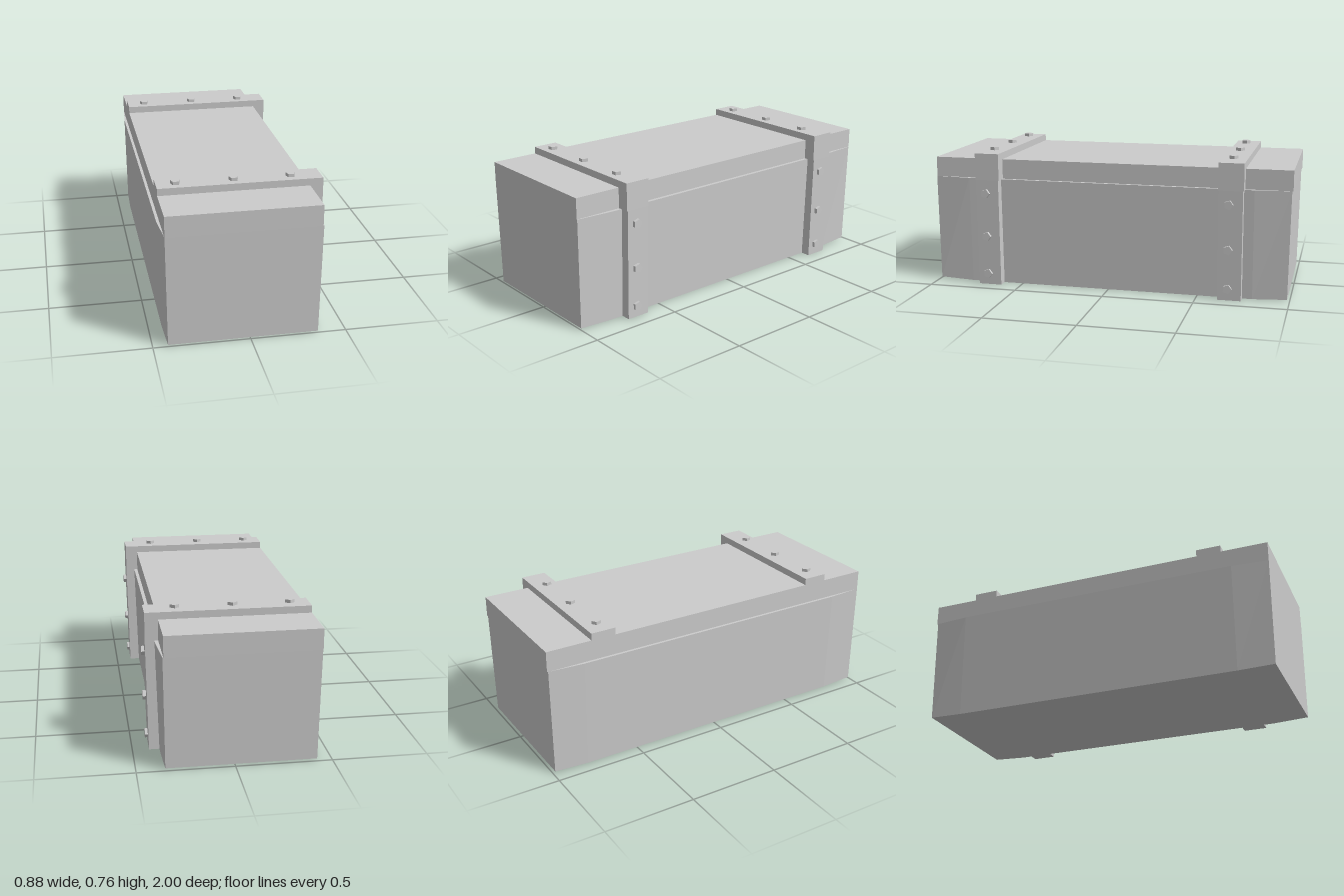
import * as THREE from 'three';

const material = new THREE.MeshStandardMaterial({ color: 0xcccccc, flatShading: true });
const CENTRE = -0.035; // the chest sits off centre because the straps project on one side

function addMesh(parent, name, geometry, x = 0, y = 0, z = 0) {
  const mesh = new THREE.Mesh(geometry, material);
  mesh.name = name;
  mesh.position.set(x, y, z);
  parent.add(mesh);
  return mesh;
}

function addBox(parent, name, x0, x1, y0, y1, z0, z1) {
  return addMesh(parent, name, new THREE.BoxGeometry(x1 - x0, y1 - y0, z1 - z0),
    (x0 + x1) / 2, (y0 + y1) / 2, (z0 + z1) / 2);
}

// Moves every vertex of a geometry by a rule
function reshape(geometry, rule) {
  const p = geometry.attributes.position;
  const v = new THREE.Vector3();
  for (let i = 0; i < p.count; i++) {
    rule(v.fromBufferAttribute(p, i));
    p.setXYZ(i, v.x, v.y, v.z);
  }
  geometry.computeVertexNormals();
  return geometry;
}

// Body: flares towards the top and pinches in at both ends
function bodyGeometry() {
  return reshape(new THREE.BoxGeometry(2, 2, 2, 1, 1, 3), (v) => {
    const end = Math.abs(v.z) > 0.9;
    const top = v.y > 0;
    const half = end ? (top ? 0.395 : 0.388) : (top ? 0.41 : 0.394);
    v.x = Math.sign(v.x) * half;
    v.y = top ? 0.6 : (end ? 0.007 : 0);
    if (!end) v.z = Math.sign(v.z) * 0.8;
    else if (v.z > 0) v.z = top ? 1 : 0.996;
    else v.z = top ? -0.994 : -0.986;
  });
}

// Five-sided bolt head, its point towards -z
function boltGeometry() {
  return new THREE.CylinderGeometry(0.026, 0.026, 0.03, 5).rotateY(Math.PI);
}

function createStrap(name, z) {
  const strap = new THREE.Group();
  strap.name = name;
  strap.position.z = z;

  // Bar over the lid, with the corner block that turns down the side
  const w = 0.068;
  const profile = new THREE.Shape([
    [-0.43, 0.7], [0.34, 0.7], [0.34, 0.6], [0.424, 0.6], [0.424, 0.748], [-0.43, 0.748],
  ].map(([x, y]) => new THREE.Vector2(x, y)));
  addMesh(strap, 'strapTop',
    new THREE.ExtrudeGeometry(profile, { depth: 2 * w, bevelEnabled: false }), 0, 0, -w);

  // Side bar, leaning with the wall of the body
  const side = reshape(new THREE.BoxGeometry(2, 2, 2), (v) => {
    const top = v.y > 0;
    v.x = v.x < 0 ? 0.33 : (top ? 0.424 : 0.413);
    v.y = top ? 0.6 : 0;
    v.z *= 0.064;
  });
  addMesh(strap, 'strapSide', side);

  // Bolts along the top and down the side
  for (const x of [-0.33, -0.032, 0.265]) {
    addMesh(strap, 'topBolt', boltGeometry(), x, 0.75, 0.01);
  }
  for (const [x, y] of [[0.424, 0.525], [0.421, 0.28], [0.414, 0.064]]) {
    addMesh(strap, 'sideBolt', boltGeometry().rotateZ(-Math.PI / 2), x, y, 0.01);
  }
  return strap;
}

export function createModel() {
  const model = new THREE.Group();
  model.name = 'strappedChest';
  addMesh(model, 'body', bodyGeometry(), CENTRE);
  addBox(model, 'lid', -0.43, 0.356, 0.6, 0.71, -1, 1);
  model.add(createStrap('frontStrap', 0.675), createStrap('backStrap', -0.681));
  return model;
}
